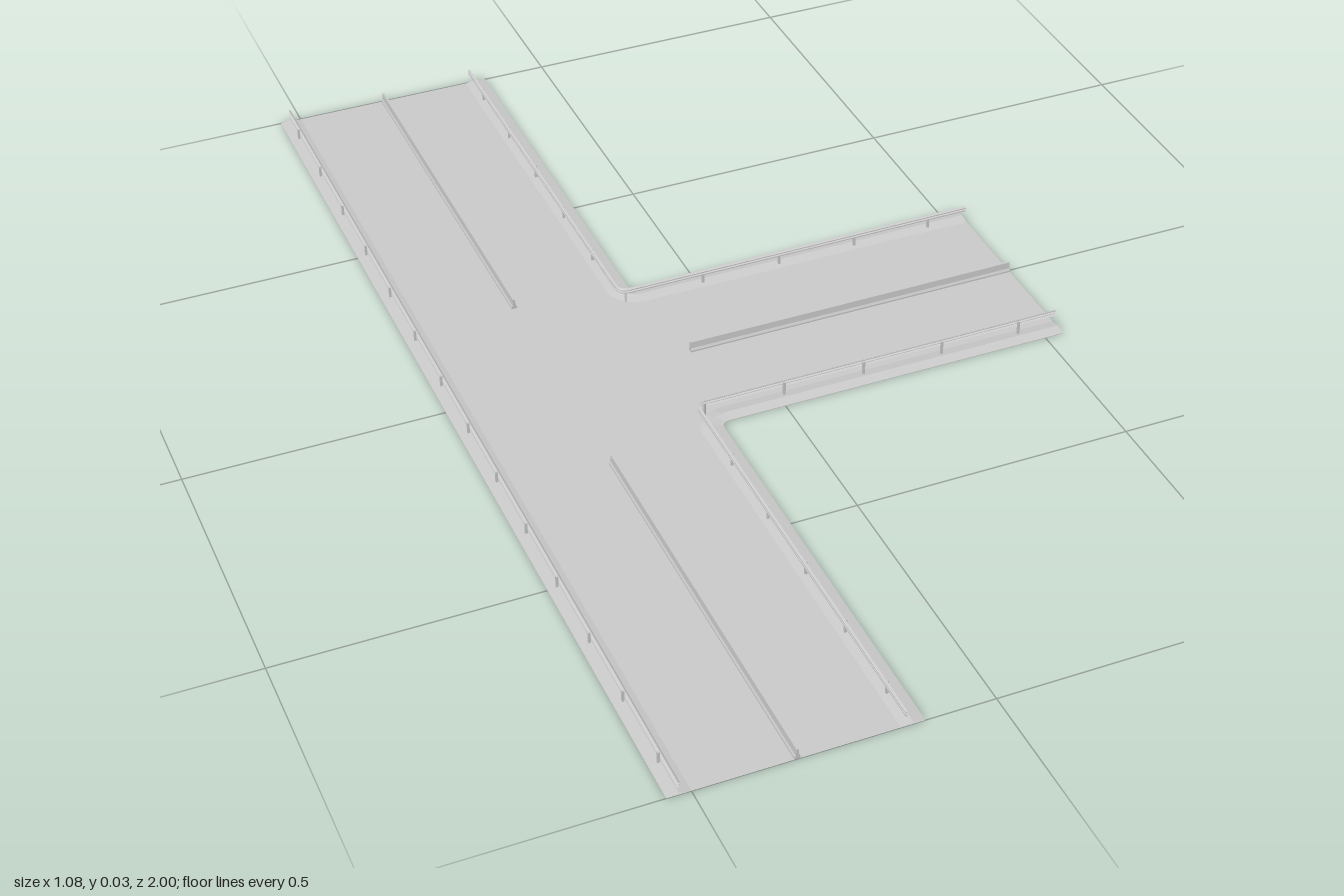
import * as THREE from 'three';

const material = new THREE.MeshStandardMaterial({ color: 0xcccccc, flatShading: true, side: THREE.DoubleSide });

function addMesh(parent, geometry, name) {
  const mesh = new THREE.Mesh(geometry, material);
  mesh.name = name;
  parent.add(mesh);
  return mesh;
}

// Path of [x, z] points through one rounded corner
function cornerPath(start, corner, end, radius) {
  const c = new THREE.Vector2(...corner);
  const toward = (p) => new THREE.Vector2(...p).sub(c).setLength(radius).add(c);
  const arc = new THREE.QuadraticBezierCurve(toward(start), c, toward(end));
  return [start, ...arc.getPoints(5).map((p) => [p.x, p.y]), end];
}

// Sweeps a profile of [outward offset, height] along a ground path with mitred joints
function sweep(path, profile) {
  const pts = path.map((p) => new THREE.Vector2(...p));
  const normals = pts.slice(1).map((p, i) => {
    const d = p.clone().sub(pts[i]).normalize();
    return new THREE.Vector2(-d.y, d.x);
  });
  const positions = [];
  const index = [];
  const n = profile.length;
  pts.forEach((p, i) => {
    const a = normals[Math.max(i - 1, 0)];
    const b = normals[Math.min(i, normals.length - 1)];
    const miter = a.clone().add(b).divideScalar(1 + a.dot(b));
    for (const [offset, y] of profile) positions.push(p.x + miter.x * offset, y, p.y + miter.y * offset);
    if (i === 0) return;
    for (let j = 0; j < n; j++) {
      const k = (j + 1) % n;
      const r = (i - 1) * n;
      index.push(r + j, r + n + j, r + k, r + k, r + n + j, r + n + k);
    }
  });
  const geometry = new THREE.BufferGeometry();
  geometry.setAttribute('position', new THREE.Float32BufferAttribute(positions, 3));
  geometry.setIndex(index);
  geometry.computeVertexNormals();
  return geometry;
}

// Corrugated beam carried by evenly spaced posts on its outer side
function guardRail(name, path, top) {
  const group = new THREE.Group();
  group.name = name;
  const b = top - 0.011;
  const face = [[0.001, b], [-0.002, b + 0.002], [-0.002, b + 0.004], [0.001, b + 0.0055],
    [-0.002, b + 0.007], [-0.002, b + 0.009], [0.001, top]];
  const back = face.map(([o, y]) => [o + 0.001, y]);
  addMesh(group, sweep(path, [...back, ...face.reverse()]), 'railBeam');

  const curve = new THREE.CurvePath();
  for (let i = 1; i < path.length; i++) {
    curve.add(new THREE.LineCurve(new THREE.Vector2(...path[i - 1]), new THREE.Vector2(...path[i])));
  }
  const count = Math.round(curve.getLength() / 0.148);
  const height = top - 0.002;
  for (let i = 0; i < count; i++) {
    const u = (i + 0.5) / count;
    const p = curve.getPointAt(u);
    const d = curve.getTangentAt(u);
    const post = addMesh(group, new THREE.BoxGeometry(0.004, height, 0.004), 'railPost');
    post.position.set(p.x - d.y * 0.0035, height / 2, p.y + d.x * 0.0035);
    post.rotation.y = Math.atan2(d.x, d.y);
  }
  return group;
}

// Concrete barrier with a flared foot, running along +z from its origin
function medianBarrier(length) {
  const half = [[0.005, 0], [0.005, 0.003], [0.0028, 0.007], [0.0018, 0.019]];
  const outline = [...half, ...half.map(([x, y]) => [-x, y]).reverse()];
  const shape = new THREE.Shape(outline.map((p) => new THREE.Vector2(...p)));
  return new THREE.ExtrudeGeometry(shape, { depth: length, bevelEnabled: false });
}

export function createModel() {
  const model = new THREE.Group();
  model.name = 'roadJunction';
  const left = -0.54, inner = -0.12, right = 0.535, arm = 0.21;

  // Edges of the paving, the open side always on the same hand
  const edges = [
    [[left, -1], [left, 1]],
    cornerPath([inner, 1], [inner, arm], [right, arm], 0.018),
    cornerPath([right, -arm], [inner, -arm], [inner, -1], 0.018),
  ];

  // Road surface, a thin sheet in the shape of a T
  const outline = edges.flat().map(([x, z]) => new THREE.Vector2(x, -z));
  addMesh(model, new THREE.ShapeGeometry(new THREE.Shape(outline)).rotateX(-Math.PI / 2), 'roadSurface');

  // Low sloping shoulders along the edges
  for (const edge of edges) {
    addMesh(model, sweep(edge, [[-0.04, 0], [0, 0], [0, 0.001], [-0.02, 0.004]]), 'roadShoulder');
  }

  // Guard rails
  const railX = -0.152, railZ = 0.178;
  model.add(
    guardRail('outerGuardRail', [[-0.52, -1], [-0.52, 1]], 0.026),
    guardRail('frontGuardRail', cornerPath([railX, 1], [railX, railZ], [right, railZ], 0.02), 0.03),
    guardRail('backGuardRail', cornerPath([right, -railZ], [railX, -railZ], [railX, -1], 0.02), 0.03),
  );

  // Median barriers on the three arms
  for (const [name, start] of [['frontMedian', 0.24], ['backMedian', -1]]) {
    addMesh(model, medianBarrier(0.76), name).position.set(-0.33, 0, start);
  }
  const sideMedian = addMesh(model, medianBarrier(right + 0.09), 'sideMedian');
  sideMedian.rotation.y = Math.PI / 2;
  sideMedian.position.x = -0.09;

  return model;
}
